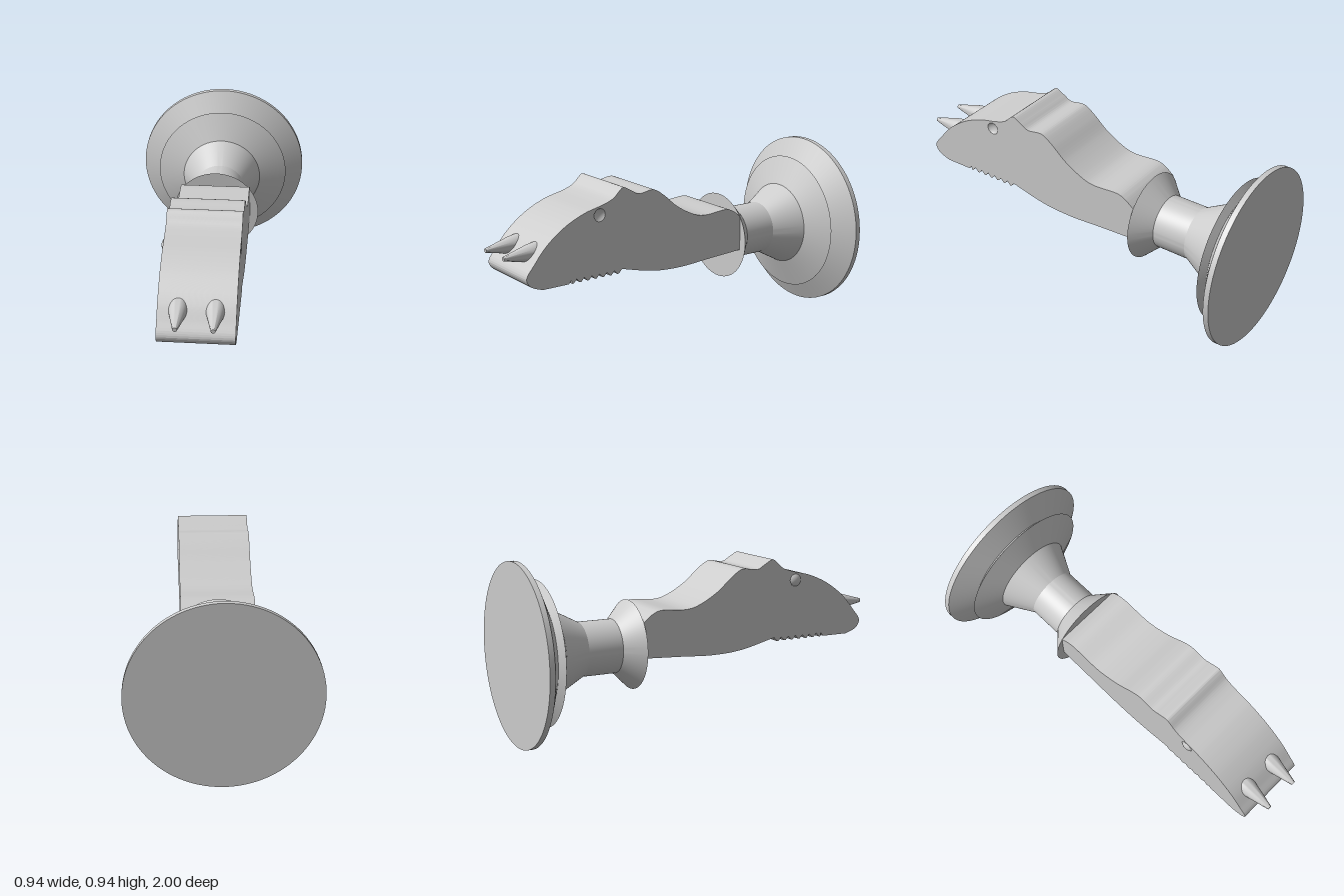
import * as THREE from 'three';
import { toCreasedNormals } from 'three/addons/utils/BufferGeometryUtils.js';

const AXIS_Y = 0.469;   // height of the round base's axis
const HALF_W = 0.1865;  // half width of the head
const EYE = { z: 0.513, y: 0.763, r: 0.033, depth: 0.013 };

const grey = new THREE.MeshStandardMaterial({ color: 0xcccccc });
const greyDouble = new THREE.MeshStandardMaterial({ color: 0xcccccc, side: THREE.DoubleSide });

function addMesh(parent, name, geometry, material = grey) {
  const mesh = new THREE.Mesh(geometry, material);
  mesh.name = name;
  parent.add(mesh);
  return mesh;
}

// Turned part along z from [radius, z] pairs, listed from back to front
function turned(points, segments, crease) {
  const geo = new THREE.LatheGeometry(points.map(([r, z]) => new THREE.Vector2(r, z)), segments);
  return toCreasedNormals(geo.rotateX(Math.PI / 2), crease);
}

// Side outline of the head, drawn with shape x = model z
function headShape() {
  const v = (p) => new THREE.Vector2(p[0], p[1]);
  const shape = new THREE.Shape();
  // underside, from the flange to the jaw
  shape.moveTo(-0.382, 0.428);
  shape.splineThru([[-0.18, 0.417], [0.013, 0.406], [0.185, 0.417], [0.37, 0.46]].map(v));
  // row of small teeth
  const teeth = 7, start = 0.385, pitch = 0.0445;
  for (let i = 0; i < teeth; i++) {
    const z = start + i * pitch;
    shape.lineTo(z, 0.463);
    shape.lineTo(z + pitch * 0.4, 0.443);
    shape.lineTo(z + pitch * 0.6, 0.443);
  }
  shape.lineTo(0.682, 0.463);
  shape.lineTo(0.697, 0.444);
  shape.lineTo(0.845, 0.444);
  // rounded snout, forehead, brow ridge and back
  shape.splineThru([
    [0.905, 0.467], [0.931, 0.5], [0.926, 0.53], [0.89, 0.575], [0.84, 0.636],
    [0.78, 0.69], [0.7, 0.743], [0.6, 0.786], [0.49, 0.813], [0.43, 0.836],
    [0.39, 0.872], [0.366, 0.882], [0.32, 0.858], [0.275, 0.836], [0.205, 0.845],
    [0.17, 0.838], [0.115, 0.8], [0.035, 0.733], [-0.07, 0.676], [-0.15, 0.659],
    [-0.275, 0.667], [-0.33, 0.652], [-0.382, 0.613],
  ].map(v));
  shape.closePath();
  // opening for the eyes
  const hole = new THREE.Path();
  hole.absarc(EYE.z, EYE.y, EYE.r, 0, Math.PI * 2, true);
  shape.holes.push(hole);
  return shape;
}

export function createModel() {
  const model = new THREE.Group();
  model.name = 'headOnStand';

  // Head
  const head = new THREE.ExtrudeGeometry(headShape(), {
    depth: HALF_W * 2, bevelEnabled: false, curveSegments: 64,
  });
  head.rotateY(-Math.PI / 2).translate(HALF_W, 0, 0);
  addMesh(model, 'head', toCreasedNormals(head, 0.45));

  // Eyes: a raised dome on the right, a shallow dimple on the left
  const domeR = (EYE.r ** 2 + EYE.depth ** 2) / (2 * EYE.depth);
  const angle = Math.asin(EYE.r / domeR);
  const dome = new THREE.SphereGeometry(domeR, 32, 8, 0, Math.PI * 2, 0, angle);
  dome.rotateZ(Math.PI / 2).translate(domeR * Math.cos(angle), 0, 0);
  for (const [name, x] of [['rightEye', -HALF_W], ['leftEye', HALF_W]]) {
    addMesh(model, name, dome, greyDouble).position.set(x, EYE.y, EYE.z);
  }

  // Pair of spikes on the snout
  const spike = turned([[0, 0.76], [0.049, 0.77], [0.049, 0.82], [0.044, 0.86],
    [0.011, 1], [0, 1]], 32, 0.6);
  // lean the spikes slightly down towards their tips
  spike.translate(0, 0, -1).rotateX(0.04);
  for (const [name, x] of [['rightSpike', -0.089], ['leftSpike', 0.087]]) {
    addMesh(model, name, spike).position.set(x, 0.602, 1);
  }

  // Round stand: wide foot, rib, neck and flared collar
  const stand = turned([
    [0, -1], [0.468, -1], [0.468, -0.972], [0.33, -0.903], [0.372, -0.878],
    [0.222, -0.815], [0.14, -0.66], [0.14, -0.475], [0.232, -0.382], [0, -0.382],
  ], 96, 0.3);
  addMesh(model, 'stand', stand).position.y = AXIS_Y;

  return model;
}
